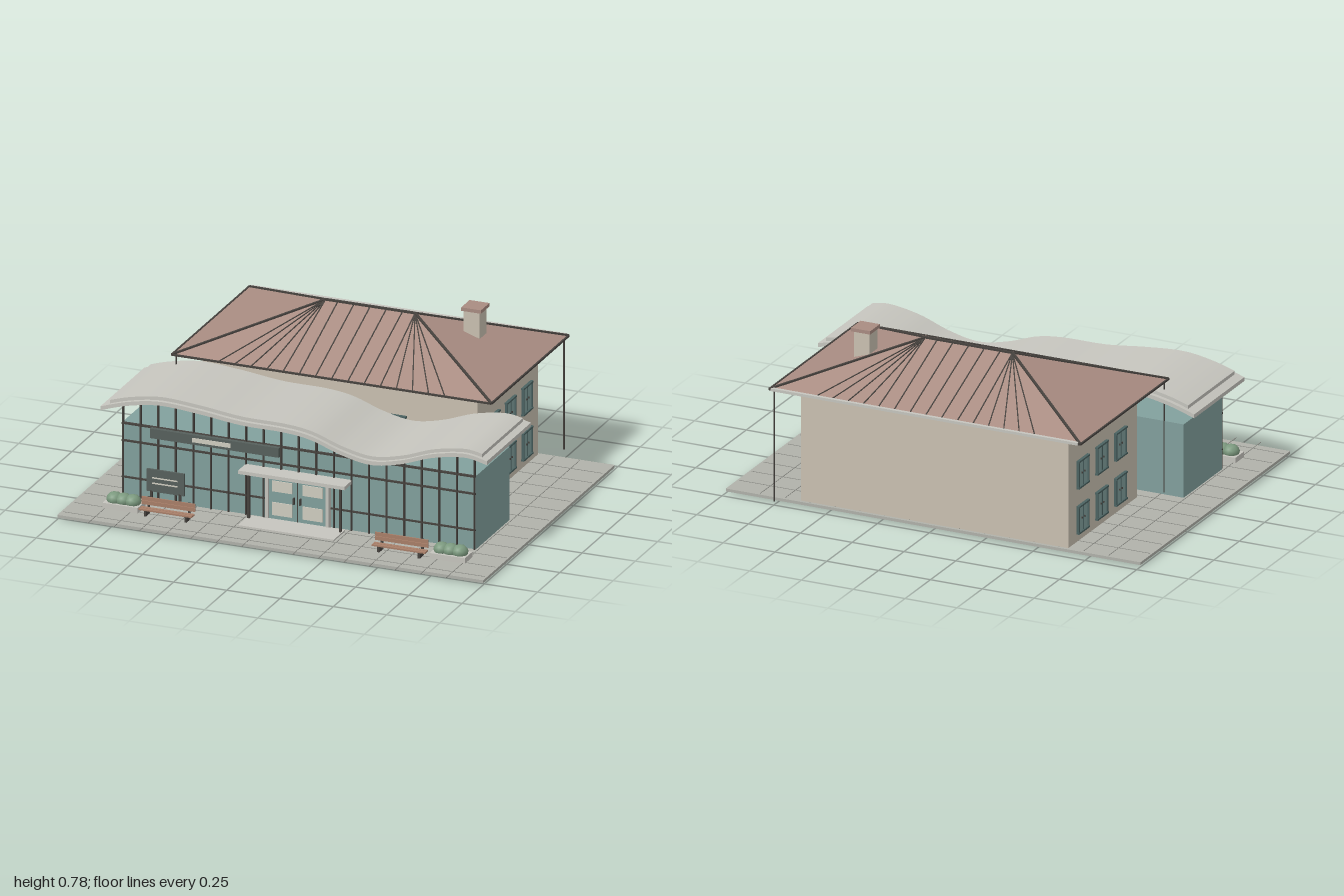
import * as THREE from 'three';
import { toCreasedNormals } from 'three/addons/utils/BufferGeometryUtils.js';

const mat = (color) => new THREE.MeshStandardMaterial({ color });
const M = {
  wall: mat(0xcac1b1), glass: mat(0x82a09d), roof: mat(0xa98c82), dark: mat(0x46423e),
  frame: mat(0x4b6362), pale: mat(0xc6c5be), slab: mat(0xb0b1aa), joint: mat(0x8d8e88),
  wood: mat(0xa97f69), green: mat(0x7c9a7f), panel: mat(0xd0cdc0), sign: mat(0x56605c),
};

export function createModel() {
  const root = new THREE.Group();
  const group = (name, parent = root) => {
    const g = new THREE.Group();
    g.name = name;
    parent.add(g);
    return g;
  };
  const add = (parent, name, geometry, material) => {
    const m = new THREE.Mesh(geometry, material);
    m.name = name;
    parent.add(m);
    return m;
  };
  // box given by its limits on each axis
  const box = (parent, name, material, x0, x1, y0, y1, z0, z1) => {
    const m = add(parent, name, new THREE.BoxGeometry(x1 - x0, y1 - y0, z1 - z0), material);
    m.position.set((x0 + x1) / 2, (y0 + y1) / 2, (z0 + z1) / 2);
    return m;
  };
  // square bar between two points
  const bar = (parent, name, material, a, b, w) => {
    const m = add(parent, name, new THREE.BoxGeometry(w, w, a.distanceTo(b)), material);
    m.position.copy(a).add(b).multiplyScalar(0.5);
    m.lookAt(b);
    return m;
  };
  const V = (x, y, z) => new THREE.Vector3(x, y, z);

  // Ground slab with paving joints
  const ground = group('ground');
  box(ground, 'pavement', M.slab, -1, 1, 0.008, 0.021, -0.713, 0.763);
  for (let i = -7; i <= 7; i++) {
    if (i !== 0) box(ground, 'pavingJoint', M.joint, i * 0.12 - 0.0015, i * 0.12 + 0.0015, 0.02, 0.0225, -0.7, 0.8);
  }
  for (let i = -5; i <= 6; i++) {
    box(ground, 'pavingJoint', M.joint, -0.99, 0.99, 0.02, 0.0225, i * 0.12 - 0.0015, i * 0.12 + 0.0015);
  }

  // Main block
  const house = group('mainBuilding');
  box(house, 'walls', M.wall, -0.645, 0.645, 0.02, 0.56, -0.698, -0.02);

  // Window built facing +z around its own centre
  const makeWindow = (x, y, z, turn) => {
    const w = group('window', house);
    const hw = 0.048, hh = 0.061;
    box(w, 'pane', M.glass, -hw, hw, -hh, hh, -0.003, 0.006);
    for (const s of [-1, 1]) {
      box(w, 'frameSide', M.frame, s * hw - 0.004, s * hw + 0.004, -hh, hh, -0.003, 0.012);
      box(w, 'frameRail', M.frame, -hw - 0.006, hw + 0.006, s * hh - 0.004, s * hh + 0.004, -0.003, 0.014);
      box(w, 'handle', M.dark, s * 0.012 - 0.002, s * 0.012 + 0.002, -0.004, 0.004, 0.006, 0.011);
    }
    box(w, 'centreBar', M.frame, -0.0025, 0.0025, -hh, hh, 0, 0.009);
    w.position.set(x, y, z);
    w.rotation.y = turn;
  };
  for (const y of [0.122, 0.332]) {
    for (const z of [-0.195, -0.38, -0.565]) {
      makeWindow(0.645, y, z, Math.PI / 2);
      makeWindow(-0.645, y, z, -Math.PI / 2);
    }
    for (const x of [-0.52, -0.26, 0, 0.26, 0.52]) makeWindow(x, y, -0.02, 0);
  }

  // Hipped roof
  const roof = group('roof');
  const ex = 0.75, ey = 0.555, zf = 0.075, zb = -0.795, rx = 0.21, ry = 0.735, rz = -0.36;
  const FL = V(-ex, ey, zf), FR = V(ex, ey, zf), BR = V(ex, ey, zb), BL = V(-ex, ey, zb);
  const RL = V(-rx, ry, rz), RR = V(rx, ry, rz);
  const tris = [FL, FR, RR, FL, RR, RL, BR, BL, RL, BR, RL, RR, FR, BR, RR, BL, FL, RL, FL, BL, BR, FL, BR, FR];
  const roofGeo = new THREE.BufferGeometry().setFromPoints(tris);
  roofGeo.computeVertexNormals();
  add(roof, 'roofSlopes', roofGeo, M.roof);
  bar(roof, 'ridgeCap', M.dark, RL, RR, 0.012);
  for (const [corner, top] of [[FL, RL], [BL, RL], [FR, RR], [BR, RR]]) bar(roof, 'hipCap', M.dark, corner, top, 0.011);
  for (const [a, b] of [[FL, FR], [FR, BR], [BR, BL], [BL, FL]]) bar(roof, 'eaveTrim', M.dark, a, b, 0.008);
  for (let i = -7; i <= 7; i++) {
    const x = i * 0.076, top = V(THREE.MathUtils.clamp(x, -rx, rx), ry, rz);
    for (const z of [zf, zb]) bar(roof, 'seam', M.dark, V(x, ey, z), top, 0.005);
  }
  box(roof, 'gutter', M.pale, -0.74, 0.74, 0.55, 0.562, -0.802, -0.785);

  // Drainpipes at two opposite corners
  for (const [x, z] of [[0.735, -0.777], [-0.735, 0.062]]) {
    const pipe = add(roof, 'drainpipe', new THREE.CylinderGeometry(0.004, 0.004, 0.525, 8), M.dark);
    pipe.position.set(x, 0.293, z);
  }

  // Chimney
  box(roof, 'chimneyStack', M.wall, 0.417, 0.493, 0.6, 0.765, -0.487, -0.41);
  box(roof, 'chimneyCap', M.roof, 0.409, 0.502, 0.762, 0.778, -0.497, -0.402);

  // Front glass hall
  const hall = group('glassHall');
  box(hall, 'glassBox', M.glass, -0.83, 0.83, 0.02, 0.362, 0.06, 0.438);

  // Wavy canopy: underside height along x
  const wave = new THREE.SplineCurve([
    [-0.91, 0.425], [-0.78, 0.465], [-0.63, 0.488], [-0.45, 0.477], [-0.25, 0.455], [-0.05, 0.452], [0.08, 0.435],
    [0.22, 0.388], [0.36, 0.363], [0.5, 0.388], [0.65, 0.44], [0.8, 0.464], [0.905, 0.445],
  ].map(([x, y]) => new THREE.Vector2(x, y)));
  const line = wave.getPoints(96);
  const heightAt = (x) => {
    const i = Math.max(1, line.findIndex((p) => p.x >= x));
    const a = line[i - 1], b = line[i];
    return a.y + (b.y - a.y) * (x - a.x) / (b.x - a.x);
  };
  const wavySheet = (name, limit, lift, thick, z0, z1) => {
    const pts = line.filter((p) => Math.abs(p.x) <= limit);
    const low = pts.map((p) => new THREE.Vector2(p.x, p.y + lift));
    const high = pts.map((p) => new THREE.Vector2(p.x, p.y + lift + thick)).reverse();
    const geo = new THREE.ExtrudeGeometry(new THREE.Shape([...low, ...high]), { depth: z1 - z0, bevelEnabled: false });
    geo.translate(0, 0, z0);
    add(hall, name, toCreasedNormals(geo, 0.6), M.pale);
  };
  wavySheet('canopyLower', 0.92, 0, 0.018, 0.0, 0.495);
  wavySheet('canopyUpper', 0.885, 0.017, 0.017, 0.02, 0.477);

  // Mullions rising to the canopy, and horizontal rails
  for (let i = -10; i <= 10; i++) {
    const x = i * 0.0825;
    const foot = Math.abs(x) < 0.14 ? 0.25 : 0.02;
    box(hall, 'mullion', M.dark, x - 0.003, x + 0.003, foot, heightAt(x) + 0.003, 0.434, 0.448);
  }
  for (const y of [0.28, 0.36]) box(hall, 'rail', M.dark, -0.83, 0.83, y - 0.004, y + 0.004, 0.434, 0.446);
  for (const s of [-1, 1]) {
    box(hall, 'lowRail', M.dark, s * 0.49 - 0.34, s * 0.49 + 0.34, 0.107, 0.114, 0.434, 0.446);
  }

  // Blank sign band and notice board
  box(hall, 'signBand', M.sign, -0.69, -0.085, 0.318, 0.362, 0.445, 0.466);
  box(hall, 'signPlaque', M.panel, -0.49, -0.31, 0.33, 0.35, 0.464, 0.469);
  const board = group('noticeBoard');
  box(board, 'boardPanel', M.sign, -0.69, -0.515, 0.085, 0.188, 0.49, 0.5);
  for (const y of [0.125, 0.15]) box(board, 'boardStrip', M.panel, -0.665, -0.545, y - 0.003, y + 0.003, 0.499, 0.502);
  for (const x of [-0.67, -0.535]) box(board, 'boardPost', M.dark, x - 0.005, x + 0.005, 0.02, 0.09, 0.49, 0.5);

  // Entrance: doors, frame, porch roof, posts and steps
  const entrance = group('entrance');
  for (const s of [-1, 1]) {
    box(entrance, 'doorLeaf', M.glass, s * 0.069 - 0.066, s * 0.069 + 0.066, 0.025, 0.228, 0.44, 0.456);
    for (const [y0, y1] of [[0.045, 0.105], [0.155, 0.205]]) {
      box(entrance, 'doorPanel', M.panel, s * 0.072 - 0.047, s * 0.072 + 0.047, y0, y1, 0.455, 0.46);
    }
    box(entrance, 'doorHandle', M.dark, s * 0.015 - 0.003, s * 0.015 + 0.003, 0.11, 0.14, 0.456, 0.468);
    box(entrance, 'doorJamb', M.pale, s * 0.142 - 0.007, s * 0.142 + 0.007, 0.02, 0.236, 0.438, 0.464);
    box(entrance, 'porchPost', M.dark, s * 0.215 - 0.005, s * 0.215 + 0.005, 0.02, 0.242, 0.485, 0.496);
  }
  box(entrance, 'doorHead', M.pale, -0.149, 0.149, 0.226, 0.24, 0.438, 0.464);
  box(entrance, 'doorMeeting', M.dark, -0.003, 0.003, 0.025, 0.228, 0.44, 0.458);
  box(entrance, 'porchRoof', M.pale, -0.25, 0.25, 0.24, 0.256, 0.44, 0.527);
  box(entrance, 'threshold', M.pale, -0.15, 0.15, 0, 0.027, 0.44, 0.482);
  box(entrance, 'step', M.pale, -0.225, 0.225, 0.012, 0.028, 0.46, 0.588);
  box(entrance, 'mat', M.joint, -0.31, 0.31, 0.02, 0.023, 0.597, 0.602);

  // Benches and planters, mirrored
  for (const s of [-1, 1]) {
    const bench = group('bench');
    bench.position.x = s * 0.548;
    for (const z of [0.608, 0.627]) box(bench, 'seatSlat', M.wood, -0.125, 0.125, 0.047, 0.054, z - 0.008, z + 0.008);
    for (const y of [0.071, 0.09]) box(bench, 'backSlat', M.wood, -0.125, 0.125, y - 0.0085, y + 0.0085, 0.593, 0.599);
    for (const x of [-0.095, 0.095]) {
      box(bench, 'benchLeg', M.dark, x - 0.005, x + 0.005, 0.02, 0.048, 0.598, 0.633);
      box(bench, 'backStay', M.dark, x - 0.005, x + 0.005, 0.02, 0.099, 0.588, 0.594);
    }
    const planter = group('planter');
    planter.position.x = s * 0.768;
    box(planter, 'trough', M.pale, -0.083, 0.083, 0.02, 0.046, 0.527, 0.613);
    for (const x of [-0.043, 0, 0.043]) {
      const shrub = add(planter, 'shrub', new THREE.IcosahedronGeometry(0.037, 1), M.green);
      shrub.position.set(x, 0.057, 0.57);
      shrub.scale.y = 0.85;
    }
  }
  return root;
}
